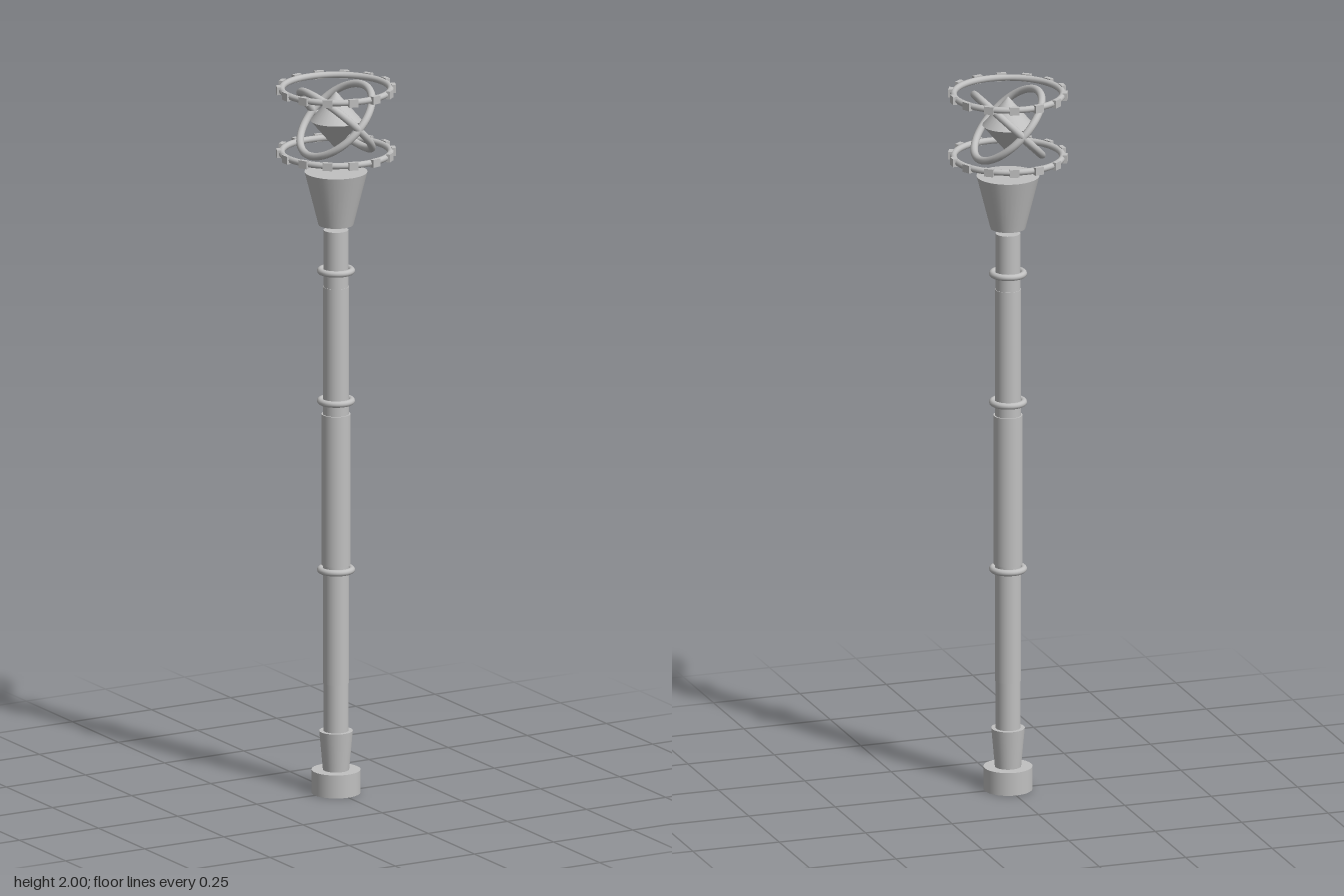
import * as THREE from 'three';

const steel = new THREE.MeshStandardMaterial({ color: 0xc0c0c0 });
steel.name = 'light grey';

export function createModel() {
  const staff = new THREE.Group();
  staff.name = 'staff';

  const add = (name, geometry, y, parent = staff) => {
    const mesh = new THREE.Mesh(geometry, steel);
    mesh.name = name;
    mesh.position.y = y;
    parent.add(mesh);
    return mesh;
  };
  // Round section from height y0 to y1
  const section = (name, r0, r1, y0, y1) =>
    add(name, new THREE.CylinderGeometry(r1, r0, y1 - y0, 32), (y0 + y1) / 2);

  // Foot and shaft
  section('pommel', 0.067, 0.067, 0, 0.065);
  section('lowerCollar', 0.036, 0.046, 0.065, 0.175);
  section('shaft', 0.034, 0.034, 0.065, 1.59);
  section('shaftSleeve', 0.0355, 0.0355, 0.31, 1.43);
  section('grip', 0.04, 0.04, 0.645, 1.07);
  for (const y of [0.63, 1.107, 1.475]) {
    add('shaftRing', new THREE.TorusGeometry(0.043, 0.009, 12, 40).rotateX(Math.PI / 2), y);
  }

  // Flared cup under the floating head
  section('cup', 0.048, 0.086, 1.605, 1.755);

  // Floating crown rings studded with small blocks
  const studs = 14;
  for (const y of [1.81, 1.988]) {
    const crown = new THREE.Group();
    crown.name = 'crownRing';
    crown.position.y = y;
    staff.add(crown);
    add('hoop', new THREE.TorusGeometry(0.149, 0.009, 12, 64).rotateX(Math.PI / 2), 0, crown);
    for (let i = 0; i < studs; i++) {
      const angle = (i / studs) * Math.PI * 2;
      const stud = add('stud', new THREE.BoxGeometry(0.012, 0.022, 0.026), 0, crown);
      stud.position.set(Math.cos(angle) * 0.157, 0, Math.sin(angle) * 0.157);
      stud.rotation.y = -angle;
    }
  }

  // Two crossed orbit rings
  for (const side of [-1, 1]) {
    const orbit = add('orbitRing', new THREE.TorusGeometry(0.124, 0.0105, 12, 64).rotateX(Math.PI / 2), 1.9);
    orbit.rotation.z = side * Math.PI / 4;
  }

  // Double-pointed core
  section('coreTop', 0.07, 0, 1.9, 1.982);
  section('coreBottom', 0, 0.07, 1.818, 1.9);

  return staff;
}
